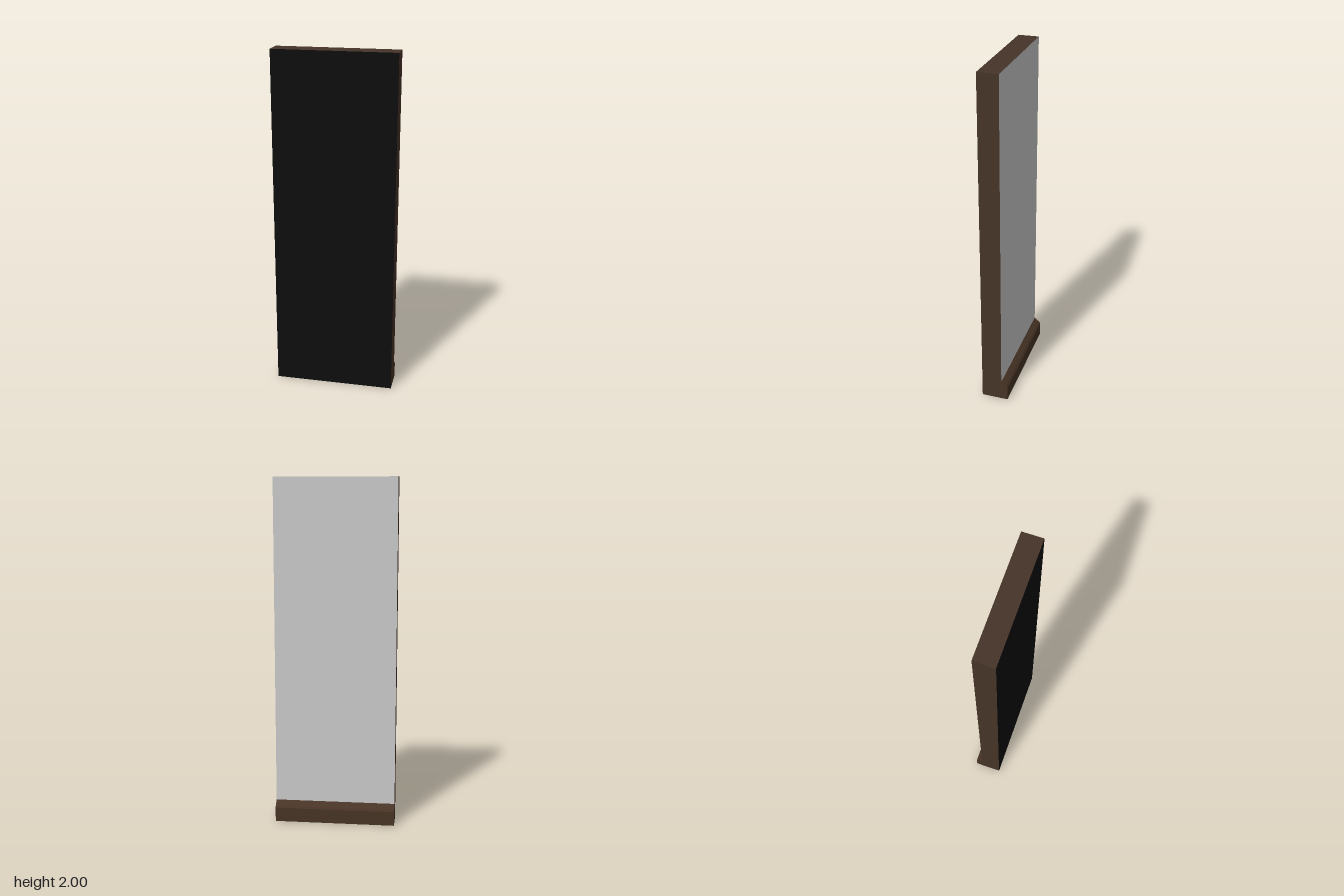
import * as THREE from 'three';

const WIDTH = 0.7, HEIGHT = 2, FRONT = 0.078, BACK = -0.04, SKIRT_BACK = -0.078;

const paint = (color) => new THREE.MeshStandardMaterial({ color, flatShading: true });

export function createModel() {
  const group = new THREE.Group();
  const brown = paint(0x463428);
  const skirtBrown = paint(0x483426);
  const black = paint(0x0d0d0d);
  const grey = paint(0xcccccc);

  // Wall panel: brown edges, black front and underside, grey back
  const wall = new THREE.Mesh(
    new THREE.BoxGeometry(WIDTH, HEIGHT, FRONT - BACK),
    [brown, brown, brown, black, black, grey]
  );
  wall.name = 'wallPanel';
  wall.position.set(0, HEIGHT / 2, (FRONT + BACK) / 2);
  group.add(wall);

  // Skirting board: chamfered profile (x = distance behind the centre, y = height)
  const profile = new THREE.Shape([
    new THREE.Vector2(-BACK, 0),
    new THREE.Vector2(-SKIRT_BACK, 0),
    new THREE.Vector2(-SKIRT_BACK, 0.083),
    new THREE.Vector2(-SKIRT_BACK - 0.008, 0.095),
    new THREE.Vector2(-BACK, 0.12),
  ]);
  const skirtGeometry = new THREE.ExtrudeGeometry(profile, { depth: WIDTH, bevelEnabled: false });
  skirtGeometry.translate(0, 0, -WIDTH / 2);
  skirtGeometry.rotateY(Math.PI / 2);

  // Black underside, brown elsewhere
  const normals = skirtGeometry.attributes.normal;
  skirtGeometry.clearGroups();
  for (let i = 0; i < normals.count; i += 3) {
    skirtGeometry.addGroup(i, 3, normals.getY(i) < -0.9 ? 1 : 0);
  }
  const skirting = new THREE.Mesh(skirtGeometry, [skirtBrown, black]);
  skirting.name = 'skirtingBoard';
  group.add(skirting);

  return group;
}
